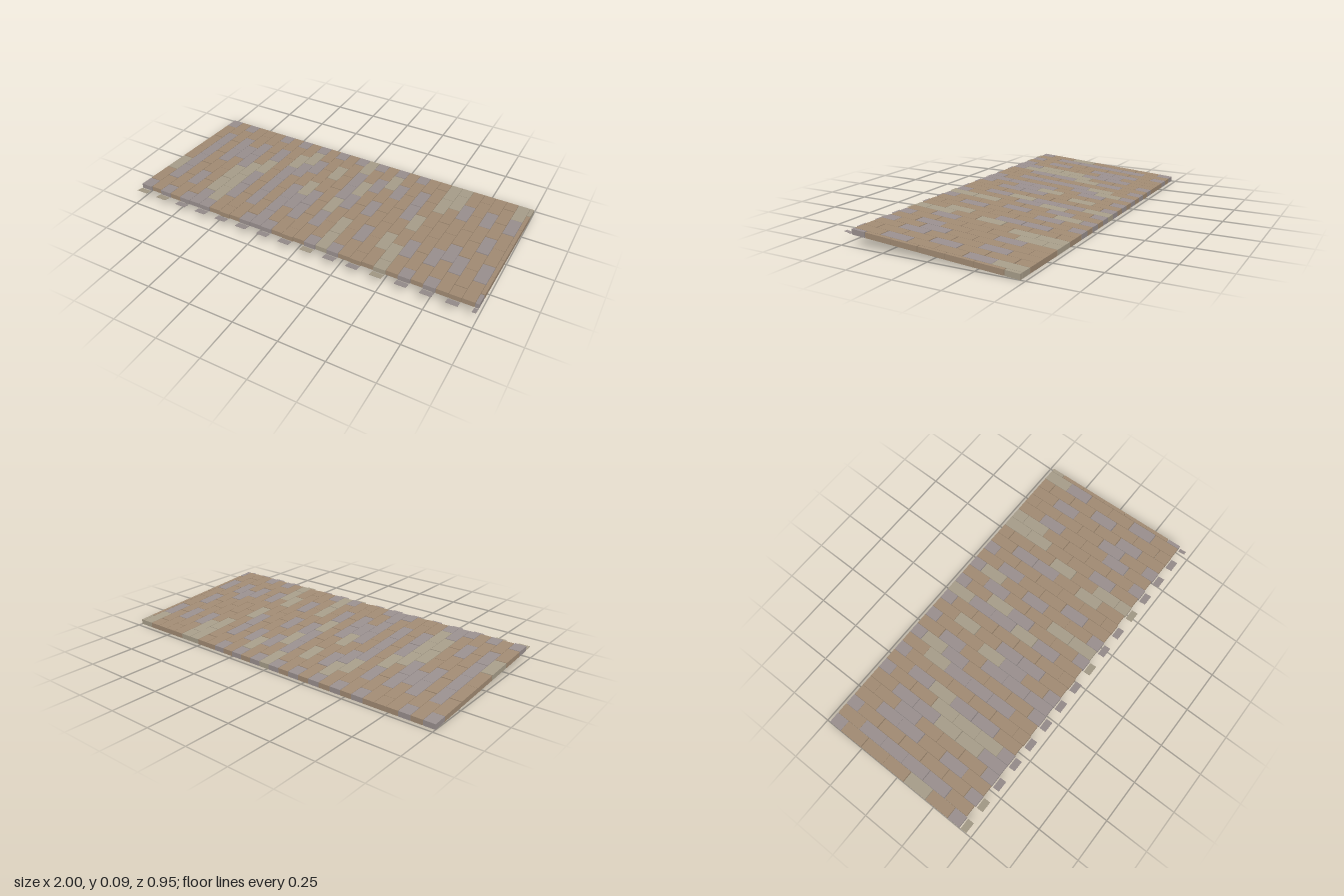
import * as THREE from 'three';

const BACK = -0.475, FRONT = 0.43;      // ends of the paving
const PITCH = 0.066, LENGTH = 0.15;     // column spacing and brick length
const THICK = 0.028, SLOPE = 0.0705;    // slab thickness and rise towards the front

export function createModel() {
  const root = new THREE.Group();
  root.name = 'slopedBrickPaving';

  const material = (color) => new THREE.MeshStandardMaterial({ color });
  const tan = material(0xa48d75), grey = material(0x9c9291), sand = material(0xaaa08c);

  // small seeded generator for colours and joint widths
  let seed = 17;
  const random = () => {
    seed = (seed * 16807) % 2147483647;
    return seed / 2147483647;
  };

  // box sheared so that its ends stay upright while its top follows the slope
  function brick(name, x0, x1, z0, z1, mat) {
    const geo = new THREE.BoxGeometry(x1 - x0, THICK, z1 - z0);
    geo.translate((x0 + x1) / 2, THICK / 2, (z0 + z1) / 2);
    const p = geo.attributes.position;
    for (let i = 0; i < p.count; i++) p.setY(i, p.getY(i) + (p.getZ(i) - BACK) * SLOPE);
    geo.computeVertexNormals();
    const mesh = new THREE.Mesh(geo, mat);
    mesh.name = name;
    return mesh;
  }

  // thin loose chip, tapering upwards and away from the front edge
  function chip(x0, x1, mat) {
    const profile = new THREE.Shape([
      new THREE.Vector2(-0.437, 0.0655),
      new THREE.Vector2(-0.475, 0.0735),
      new THREE.Vector2(-0.475, 0.0755),
      new THREE.Vector2(-0.437, 0.0675),
    ]);
    const geo = new THREE.ExtrudeGeometry(profile, { depth: x1 - x0, bevelEnabled: false });
    geo.rotateY(Math.PI / 2); // profile x becomes -z, depth becomes x
    geo.translate(x0, 0, 0);
    const mesh = new THREE.Mesh(geo, mat);
    mesh.name = 'frontChip';
    return mesh;
  }

  for (let c = 0; c < 31; c++) {
    const column = new THREE.Group();
    column.name = 'brickColumn';
    const even = c % 2 === 0;
    const x0 = -1 + c * PITCH, x1 = Math.min(x0 + PITCH - 0.002, 1);

    // running bond: alternate columns shift by half a brick, cut at both ends
    const first = even ? -0.545 : -0.47 - LENGTH;
    for (let r = 0; r < 8; r++) {
      const start = first + r * LENGTH;
      const z0 = Math.max(start, BACK), z1 = Math.min(start + LENGTH, FRONT);
      if (z1 - z0 < 0.02) continue;
      const gap = 0.001 + random() * 0.005;
      const cut = z1 - z0 < LENGTH * 0.8;
      const greyRow = !even && (r === 2 || r === 5);
      const pick = random();
      const greyShare = cut ? 0.65 : greyRow ? 0.75 : 0.12;
      const mat = pick < greyShare ? grey : pick > 0.87 ? sand : tan;
      column.add(brick('brick', x0, x1,
        z0 <= BACK + 0.006 ? BACK : z0, z1 === FRONT ? FRONT : z1 - gap, mat));
    }

    // loose chips in front of every other column
    if (even) column.add(chip(x0, Math.min(x0 + 0.062, 1), random() < 0.7 ? grey : sand));
    root.add(column);
  }
  return root;
}
